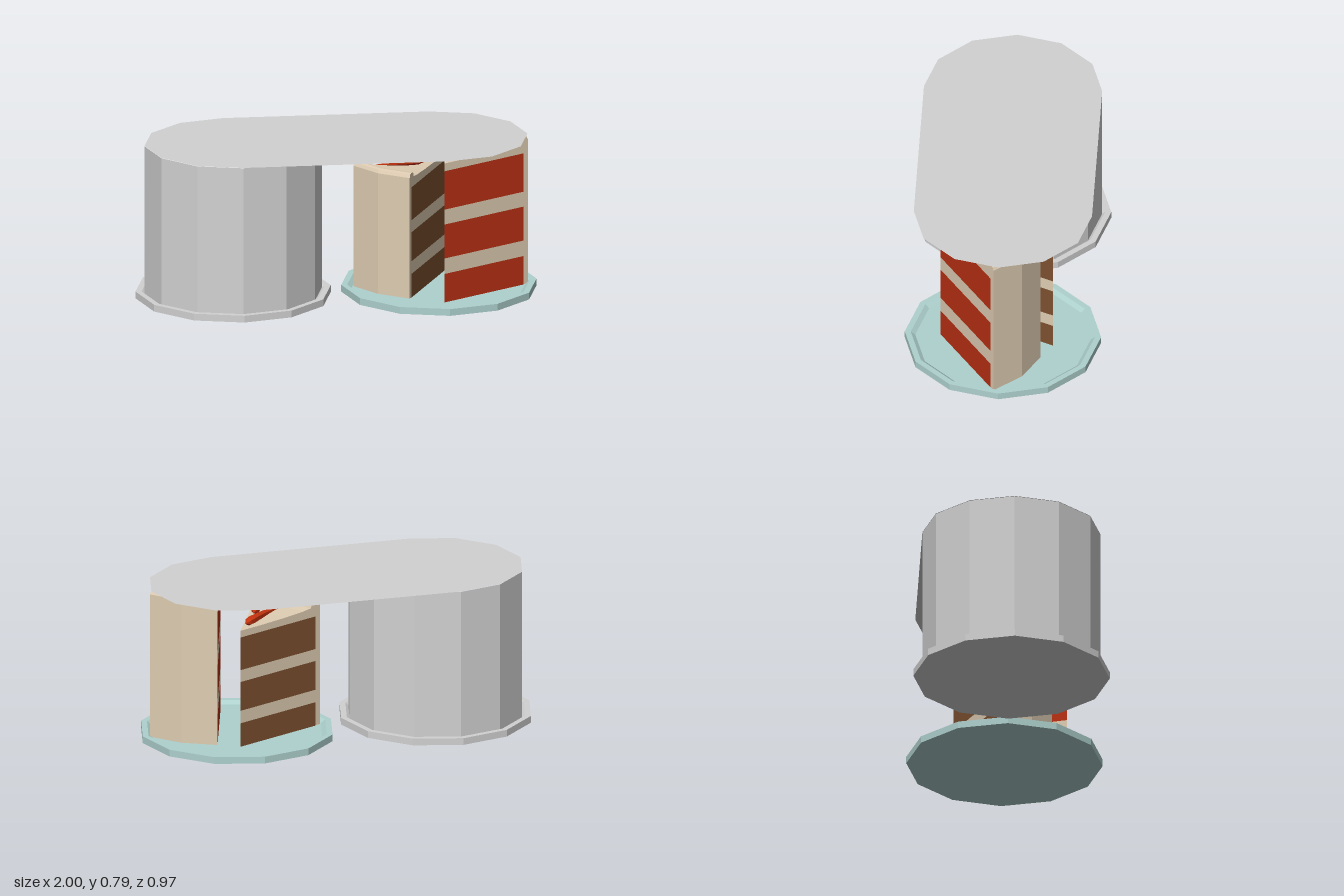
import * as THREE from 'three';
import { mergeGeometries } from 'three/addons/utils/BufferGeometryUtils.js';

const DEG = Math.PI / 180;
const CENTER = 0.513;

function mat(name, color, extra = {}) {
  return new THREE.MeshStandardMaterial({ name, color, ...extra });
}

// Facet a geometry so every polygon is shaded flat
function flat(geo) {
  const g = geo.index ? geo.toNonIndexed() : geo;
  g.computeVertexNormals();
  return g;
}

function add(parent, name, geo, material, x = 0, y = 0, z = 0) {
  const m = new THREE.Mesh(geo, material);
  m.name = name;
  m.position.set(x, y, z);
  parent.add(m);
  return m;
}

// Solid wedge: a closed (radius, height) profile swept over a small angle
function wedge(profile, startDeg, lengthDeg) {
  const pts = profile.map(([r, y]) => new THREE.Vector2(r, y));
  const start = startDeg * DEG, length = lengthDeg * DEG;
  const skin = new THREE.LatheGeometry([...pts, pts[0].clone()], 2, start, length);
  const caps = [start, start + length].map((phi, end) => {
    const cap = new THREE.ShapeGeometry(new THREE.Shape(pts));
    if (end) cap.setIndex(Array.from(cap.index.array).reverse());
    return cap.rotateY(phi - Math.PI / 2);
  });
  return mergeGeometries([skin, ...caps].map(flat));
}

const block = (r, y0, y1) => [[0, y0], [r, y0], [r, y1], [0, y1]];

// Cake slice: heights list the layer borders, sponge and filling alternating
function slice(name, heights, top, rim, start, length, sponge, cream) {
  const g = new THREE.Group();
  g.name = name;
  const R = 0.503;
  for (let i = 0; i < heights.length - 1; i++) {
    const filling = i % 2 === 1;
    add(g, filling ? 'creamFilling' : 'spongeLayer',
      wedge(block(R, heights[i], heights[i + 1]), start, length), filling ? cream : sponge);
  }
  const under = heights[heights.length - 1];
  const h = rim - top;
  add(g, 'frosting', wedge([
    [0, under], [R, under], [R, 0.02], [0.532, 0.02], [0.532, rim - 0.02], [0.524, rim - 0.004],
    [0.508, rim], [0.488, rim - 0.002], [0.478, rim - 0.2 * h], [0.472, top + 0.35 * h],
    [0.42, top + 0.2 * h], [0.3, top + 0.07 * h], [0.15, top], [0, top],
  ], start, length), cream);
  return g;
}

// Pepper: a faceted tube tapering along its path into a thin tail
function pepper(points, radius) {
  const curve = new THREE.CatmullRomCurve3(points.map((p) => new THREE.Vector3(...p)));
  const segs = 10, sides = 6;
  const geo = new THREE.TubeGeometry(curve, segs, radius, sides);
  const pos = geo.attributes.position, v = new THREE.Vector3();
  for (let i = 0; i <= segs; i++) {
    const t = i / segs, c = curve.getPointAt(t);
    const k = i === 0 ? 0.02 : Math.max(0.08, Math.min(1, 0.55 + 3 * t) * (1 - t * t * 1.05));
    for (let j = 0; j <= sides; j++) {
      const n = i * (sides + 1) + j;
      v.fromBufferAttribute(pos, n).sub(c).multiplyScalar(k).add(c);
      pos.setXYZ(n, v.x, v.y, v.z);
    }
  }
  return flat(geo);
}

export function createModel() {
  const model = new THREE.Group();
  model.name = 'cakeStand';
  const gray = mat('gray', 0xd2d2d2);
  const graySheet = mat('graySheet', 0xd2d2d2, { side: THREE.DoubleSide });
  const teal = mat('teal', 0xaed1ce);
  const cream = mat('cream', 0xdfcdb3);
  const red = mat('redSponge', 0xba3013);
  const brown = mat('chocolateSponge', 0x7d5030);
  const pepperRed = mat('pepperRed', 0xc8340f);

  // Two twelve-sided plates with a shallow recess
  const plate = flat(new THREE.LatheGeometry([
    [0, 0], [0.487, 0], [0.487, 0.035], [0.457, 0.035], [0.435, 0.018], [0, 0.018],
  ].map(([r, y]) => new THREE.Vector2(r, y)), 12));
  add(model, 'grayPlate', plate, gray, -CENTER);
  add(model, 'tealPlate', plate, teal, CENTER);

  // Closed drum on the gray plate
  add(model, 'drum', flat(new THREE.CylinderGeometry(0.442, 0.442, 0.765, 12, 1, true)),
    gray, -CENTER, 0.4005);

  // Flat sheet bridging the drum and the cake
  const outline = [];
  for (const side of [1, -1]) {
    for (let i = -3; i <= 3; i++) {
      const a = i * 30 * DEG;
      outline.push(new THREE.Vector2(
        side * (CENTER + 0.442 * Math.cos(a)), side * 0.442 * Math.sin(a)));
    }
  }
  add(model, 'topSheet', new THREE.ShapeGeometry(new THREE.Shape(outline)).rotateX(-Math.PI / 2),
    graySheet, 0, 0.785);

  // Tall red slice
  const redSlice = slice('redSlice', [0.018, 0.165, 0.245, 0.42, 0.497, 0.695],
    0.735, 0.782, 122.4, 39.3, red, cream);
  redSlice.position.set(0.505, 0, 0.31);
  model.add(redSlice);

  // Lower chocolate slice
  const chocolateSlice = slice('chocolateSlice', [0.018, 0.14, 0.205, 0.355, 0.417, 0.587],
    0.622, 0.662, -64.5, 39, brown, cream);
  chocolateSlice.position.set(0.57, 0, -0.25);
  model.add(chocolateSlice);

  // Peppers piled on the chocolate slice
  const peppers = new THREE.Group();
  peppers.name = 'peppers';
  [
    [[[0.53, 0.64, -0.2], [0.45, 0.645, -0.13], [0.37, 0.645, -0.06], [0.27, 0.655, -0.01]], 0.024],
    [[[0.45, 0.65, -0.08], [0.4, 0.665, 0], [0.3, 0.675, 0.07], [0.19, 0.675, 0.09]], 0.024],
    [[[0.44, 0.675, -0.1], [0.37, 0.695, -0.03], [0.28, 0.71, 0.03], [0.2, 0.725, 0.06], [0.15, 0.708, 0.07]], 0.024],
    [[[0.35, 0.68, 0.04], [0.31, 0.715, 0], [0.27, 0.705, -0.04], [0.22, 0.68, -0.04]], 0.02],
  ].forEach(([pts, r]) => add(peppers, 'pepper', pepper(pts, r), pepperRed));
  model.add(peppers);

  return model;
}
